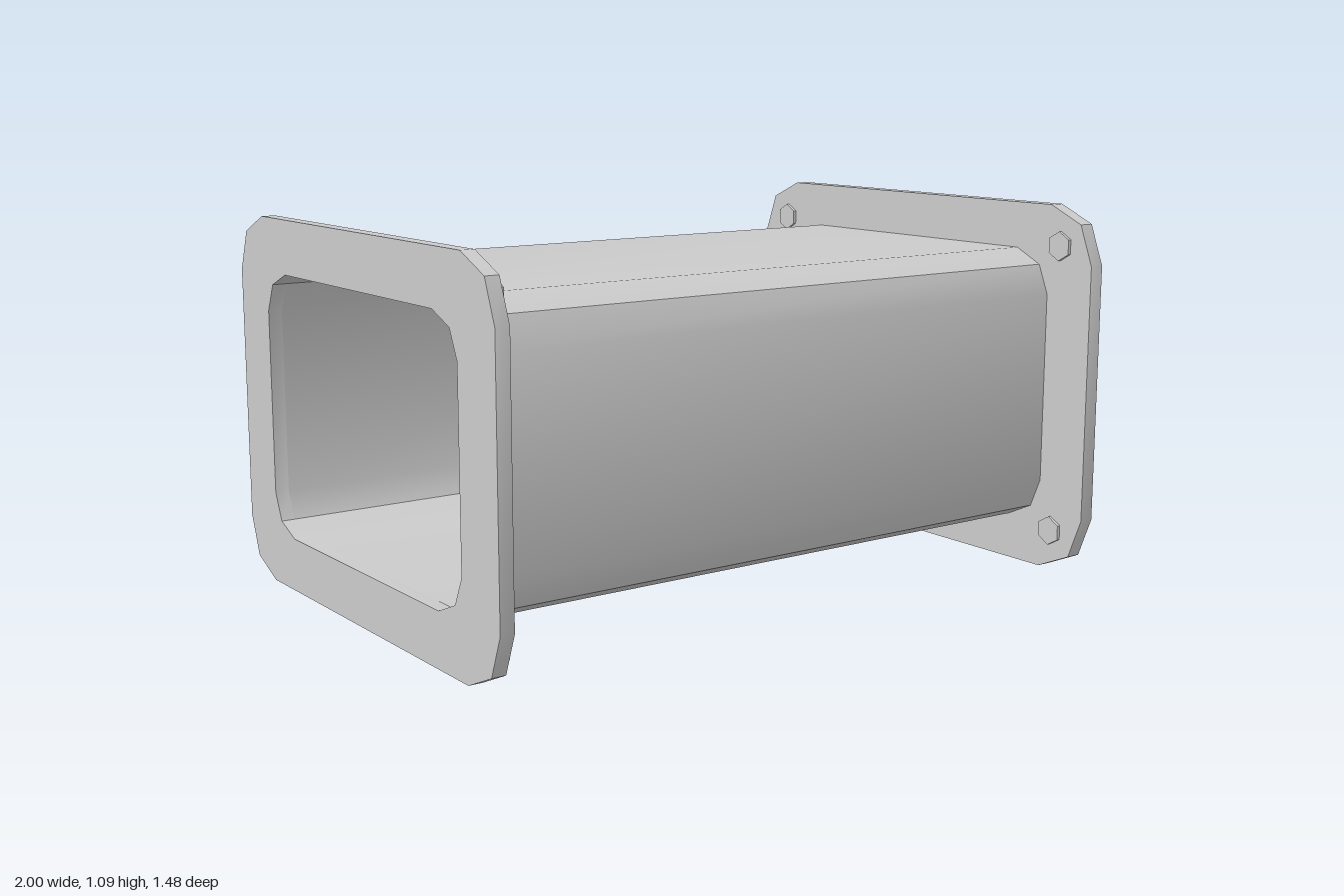
import * as THREE from 'three';
import { toCreasedNormals } from 'three/addons/utils/BufferGeometryUtils.js';

const MID_Y = 0.545;
const material = new THREE.MeshStandardMaterial({ color: 0xcccccc });

// Rectangle with two-step chamfered corners, mirrored from one quadrant of points
function outline(corner, scale = 1) {
  const back = [...corner].reverse();
  const points = [
    ...corner,
    ...back.map(([z, y]) => [-z, y]),
    ...corner.map(([z, y]) => [-z, -y]),
    ...back.map(([z, y]) => [z, -y]),
  ];
  return points.map(([z, y]) => new THREE.Vector2(z * scale, y * scale));
}

// Corner points as (z, y) offsets from the centre line
const FLANGE = [[0.74, 0.375], [0.695, 0.492], [0.58, 0.543]];
const TUBE = [[0.575, 0.28], [0.54, 0.365], [0.45, 0.408]];
const BORE = [[0.54, 0.263], [0.505, 0.34], [0.42, 0.375]];

// Hollow section running along x from x0 to x1
function hollowSection(name, outer, x0, x1) {
  const shape = new THREE.Shape(outer);
  shape.holes.push(new THREE.Path(outline(BORE)));
  const geometry = new THREE.ExtrudeGeometry(shape, { depth: x1 - x0, bevelEnabled: false });
  geometry.rotateY(Math.PI / 2).translate(x0, MID_Y, 0);
  const mesh = new THREE.Mesh(toCreasedNormals(geometry, Math.PI / 6), material);
  mesh.name = name;
  return mesh;
}

export function createModel() {
  const group = new THREE.Group();
  group.name = 'flangedDuct';

  // Duct body and its two end flanges, the right-hand end slightly smaller
  group.add(
    hollowSection('ductBody', outline(TUBE), -0.96, 0.955),
    hollowSection('leftFlange', outline(FLANGE), 0.955, 1),
    hollowSection('rightFlange', outline(FLANGE, 0.971), -1, -0.96),
  );

  // Hexagonal bolt heads on the inner face of each flange
  const boltGeometry = toCreasedNormals(new THREE.CylinderGeometry(0.043, 0.043, 0.03, 6), 0.5);
  boltGeometry.rotateZ(Math.PI / 2);
  boltGeometry.rotateX(Math.PI / 2);
  for (const x of [-0.955, 0.96]) {
    for (const sy of [-1, 1]) {
      for (const sz of [-1, 1]) {
        const bolt = new THREE.Mesh(boltGeometry, material);
        bolt.name = 'boltHead';
        bolt.position.set(x, MID_Y + sy * 0.425, sz * 0.622);
        group.add(bolt);
      }
    }
  }
  return group;
}
